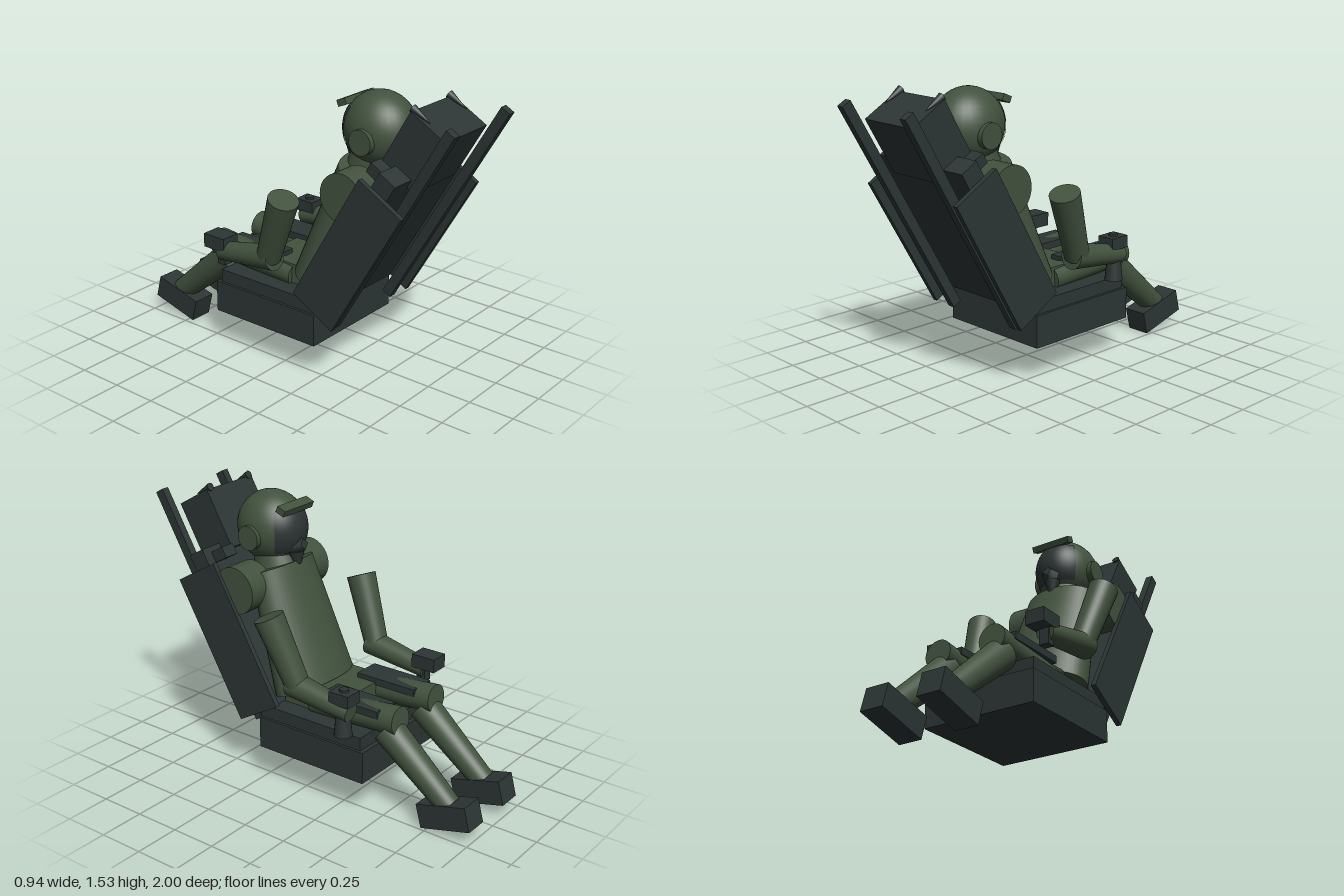
import * as THREE from 'three';

export function createModel() {
  const seatGrey = new THREE.MeshStandardMaterial({ color: 0x2d3535 });
  seatGrey.name = 'seat grey';
  const suitGreen = new THREE.MeshStandardMaterial({ color: 0x42523e });
  suitGreen.name = 'suit green';

  const model = new THREE.Group();
  model.name = 'pilotInEjectionSeat';
  const body = new THREE.Group();
  body.name = 'seatAndPilot';
  body.position.x = 0.008;
  model.add(body);

  const add = (parent, name, geo, mat, pos = [0, 0, 0], rotX = 0) => {
    const m = new THREE.Mesh(geo, mat);
    m.name = name;
    m.position.set(...pos);
    m.rotation.x = rotX;
    parent.add(m);
    return m;
  };
  const box = (parent, name, mat, size, pos, rotX) =>
    add(parent, name, new THREE.BoxGeometry(...size), mat, pos, rotX);
  // tapered cylinder running from point a to point b
  const limb = (name, mat, a, b, ra, rb, sides = 32) => {
    const A = new THREE.Vector3(...a), B = new THREE.Vector3(...b);
    const dir = B.clone().sub(A);
    const m = add(body, name, new THREE.CylinderGeometry(rb, ra, dir.length(), sides), mat);
    m.position.copy(A).add(B).multiplyScalar(0.5);
    m.quaternion.setFromUnitVectors(new THREE.Vector3(0, 1, 0), dir.normalize());
    return m;
  };

  // Reclined seat back: local y runs up the back, local -z towards the occupant
  const back = new THREE.Group();
  back.name = 'seatBack';
  back.position.set(0, 1.03, 0.78);
  back.rotation.x = Math.PI / 6;
  body.add(back);
  box(back, 'backPlate', seatGrey, [0.62, 0.91, 0.105], [0, -0.365, -0.172]);
  box(back, 'headrest', seatGrey, [0.355, 0.33, 0.226], [0, 0.205, -0.187]);
  for (const s of [-1, 1]) {
    box(back, 'sidePanel', seatGrey, [0.028, 0.815, 0.287], [s * 0.324, -0.41, -0.1435]);
    box(back, 'guideRail', seatGrey, [0.042, 1.33, 0.055], [s * 0.236, -0.19, -0.0475]);
    box(back, 'shoulderBracket', seatGrey, [0.085, 0.06, 0.09], [s * 0.213, 0.03, -0.265]);
    limb('headrestHorn', seatGrey, [s * 0.152, 1.51, 0.70], [s * 0.152, 1.455, 0.80], 0.022, 0.001, 16);
  }

  // Seat pan, cushion and pull handle
  box(body, 'seatPan', seatGrey, [0.65, 0.174, 0.675], [0, 0.28, -0.088]);
  box(body, 'seatCushion', seatGrey, [0.62, 0.075, 0.65], [0, 0.4, -0.075]);
  add(body, 'pullHandle', new THREE.TorusGeometry(0.06, 0.012, 10, 24), seatGrey, [0, 0.46, -0.185], Math.PI / 2);

  // Torso, pelvis and neck
  const torso = limb('torso', suitGreen, [0, 0.5, 0.13], [0, 1.12, 0.35], 0.16, 0.125, 48);
  torso.scale.x = 1.72;
  box(body, 'pelvis', suitGreen, [0.4, 0.11, 0.38], [0, 0.49, -0.015]);
  limb('neck', suitGreen, [0, 1.08, 0.36], [0, 1.25, 0.405], 0.14, 0.11);

  // Helmet with visor, brow strip, ear cups and mask
  const helmet = add(body, 'helmet', new THREE.SphereGeometry(0.195, 32, 20), suitGreen, [0, 1.318, 0.41]);
  helmet.scale.x = 0.88;
  const visor = add(body, 'visor',
    new THREE.SphereGeometry(0.199, 24, 16, Math.PI * 1.5 - 0.88, 1.76, 0.95, 1.2),
    seatGrey, [0, 1.318, 0.41]);
  visor.scale.x = 0.88;
  box(body, 'browStrip', suitGreen, [0.235, 0.035, 0.055], [0, 1.447, 0.255], -0.4);
  limb('mask', seatGrey, [0, 1.23, 0.29], [0, 1.255, 0.195], 0.085, 0.03, 4);
  limb('maskHose', seatGrey, [0, 1.21, 0.25], [0, 1.13, 0.245], 0.045, 0.02, 16);

  for (const s of [-1, 1]) {
    const p = (x, y, z) => [s * x, y, z];
    limb('earCup', suitGreen, p(0.13, 1.29, 0.42), p(0.188, 1.29, 0.42), 0.066, 0.066);
    limb('shoulder', suitGreen, p(0.16, 1.04, 0.41), p(0.318, 1.04, 0.41), 0.128, 0.128);

    // Arm
    const arm = (x, y, z) => [s * x - 0.008, y, z];
    limb('upperArm', suitGreen, arm(0.393, 0.99, 0.12), arm(0.343, 0.63, -0.025), 0.08, 0.065);
    limb('forearm', suitGreen, arm(0.343, 0.635, 0.015), arm(0.338, 0.573, -0.355), 0.069, 0.05);

    // Leg
    limb('thigh', suitGreen, p(0.163, 0.475, 0), p(0.163, 0.517, -0.54), 0.066, 0.077);
    box(body, 'thighBoard', seatGrey, [0.155, 0.04, 0.36], p(0.163, 0.55, -0.27));
    limb('shin', suitGreen, p(0.163, 0.455, -0.465), p(0.163, 0.14, -0.845), 0.084, 0.062);
    box(body, 'boot', seatGrey, [0.132, 0.13, 0.292], p(0.163, 0.1, -0.845), 0.26);
  }

  // Control stick on the left hand side, throttle on the other
  limb('stickPost', seatGrey, [0.333, 0.44, -0.31], [0.333, 0.62, -0.31], 0.048, 0.03, 20);
  box(body, 'stickGrip', seatGrey, [0.1, 0.065, 0.118], [0.325, 0.647, -0.31]);
  limb('stickButton', seatGrey, [0.325, 0.67, -0.31], [0.325, 0.692, -0.31], 0.025, 0.025, 20);
  box(body, 'throttleGrip', seatGrey, [0.108, 0.075, 0.14], [-0.342, 0.627, -0.37]);
  box(body, 'throttleLever', seatGrey, [0.055, 0.12, 0.05], [-0.345, 0.565, -0.34]);

  return model;
}
